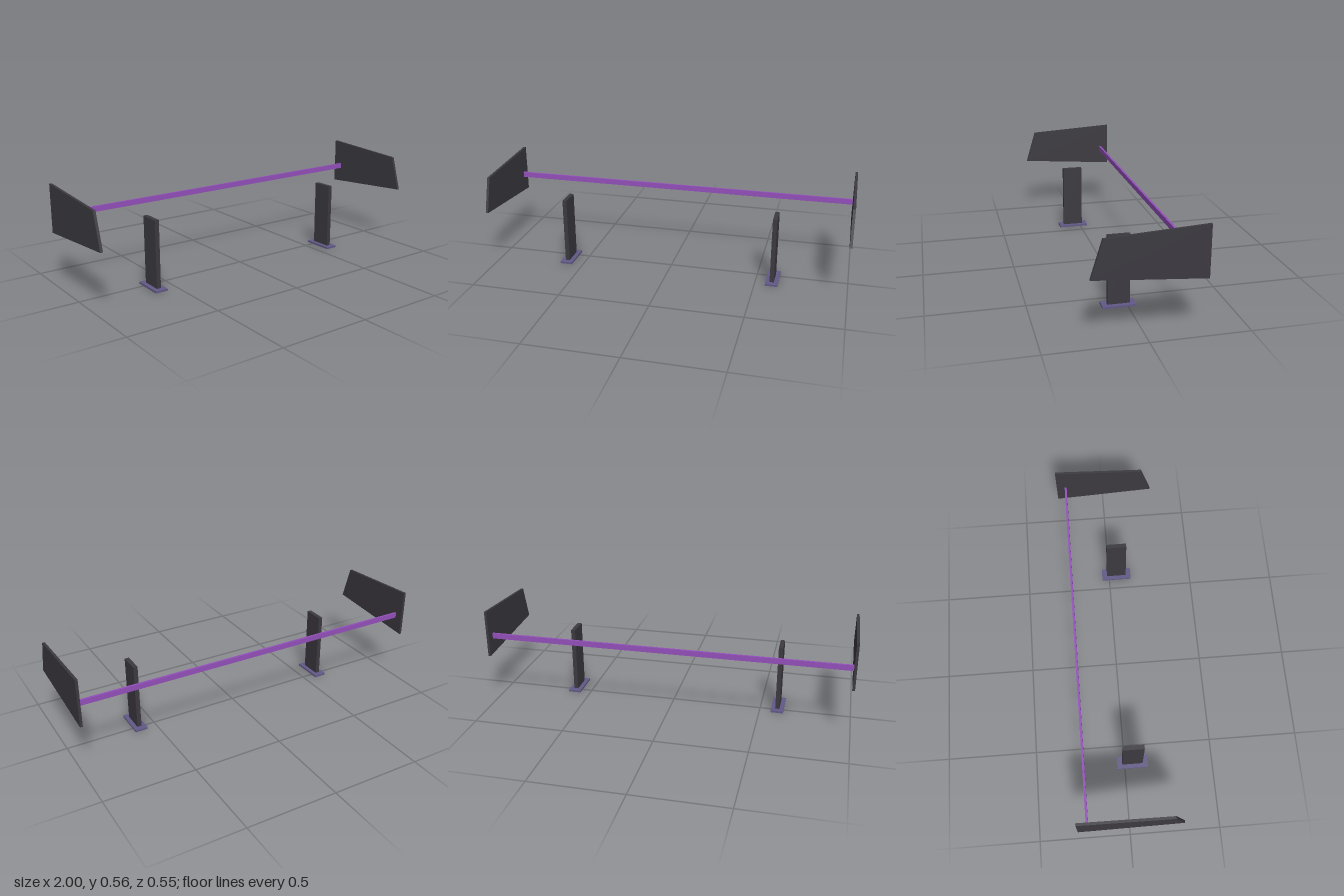
import * as THREE from 'three';

export function createModel() {
  const model = new THREE.Group();
  model.name = 'rearWing';

  const mat = (name, color) => {
    const m = new THREE.MeshStandardMaterial({ color });
    m.name = name;
    return m;
  };
  const charcoal = mat('charcoal', 0x3c3a40);
  const purple = mat('purple', 0x9450bb);
  const slate = mat('slatePurple', 0x625a87);

  const add = (name, geometry, material, x, y, z) => {
    const mesh = new THREE.Mesh(geometry, material);
    mesh.name = name;
    mesh.position.set(x, y, z);
    model.add(mesh);
  };

  // Thin blade spanning between the end plates
  add('blade', new THREE.BoxGeometry(1.976, 0.03, 0.012), purple, 0, 0.397, -0.225);

  // End plates: slanted quadrilateral outline given as (-z, y)
  const t = 0.014;
  const outline = new THREE.Shape([
    [-0.277, 0.337], [0.277, 0.293], [0.277, 0.555], [-0.22, 0.526],
  ].map(([a, b]) => new THREE.Vector2(a, b)));
  const plate = new THREE.ExtrudeGeometry(outline, { depth: t, bevelEnabled: false });
  plate.rotateY(Math.PI / 2);
  add('leftEndPlate', plate, charcoal, 1 - t, 0, 0);
  add('rightEndPlate', plate, charcoal, -1, 0, 0);

  // Upright posts, each on a flat foot
  const post = new THREE.BoxGeometry(0.024, 0.37, 0.116);
  const foot = new THREE.BoxGeometry(0.07, 0.011, 0.175);
  for (const [side, x] of [['left', 0.592], ['right', -0.598]]) {
    add(side + 'Post', post, charcoal, x, 0.011 + 0.185, 0.045);
    add(side + 'Foot', foot, slate, x, 0.0055, 0.045);
  }

  return model;
}
